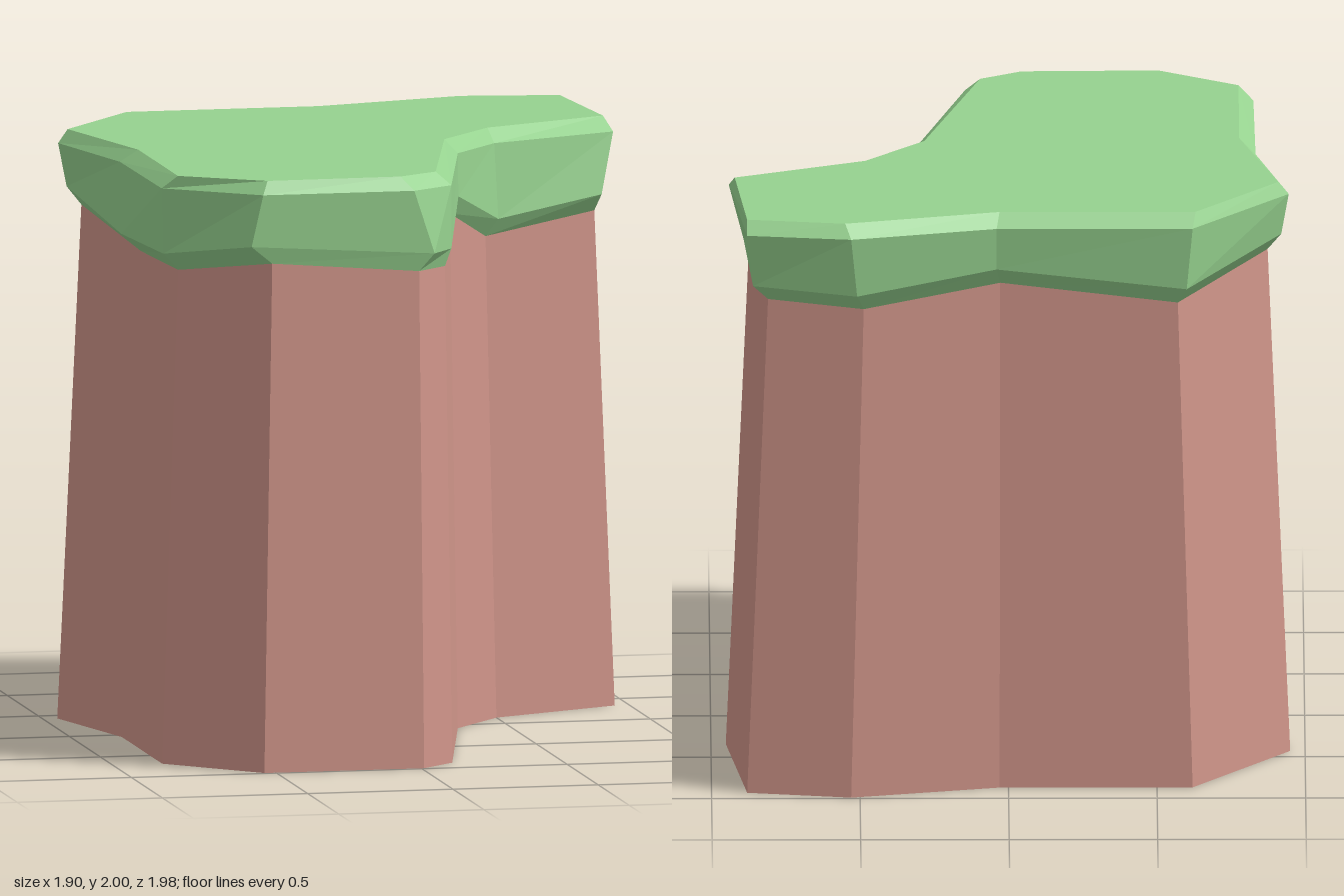
import * as THREE from 'three';

// Outline corners run counterclockwise seen from above, starting at the far -x corner.
const base = [[-0.95, -0.43], [-0.83, 0.05], [-0.83, 0.70], [-0.54, 0.99], [0.01, 0.99], [0.13, 0.88], [0.32, 0.08],
  [0.50, -0.14], [0.95, -0.34], [0.88, -0.93], [0.53, -0.99], [0.03, -0.87], [-0.62, -0.87]];
const grassTop = [[-0.91, -0.45], [-0.78, 0.08], [-0.78, 0.72], [-0.51, 0.90], [-0.05, 0.89], [0.09, 0.80], [0.28, 0.05],
  [0.48, -0.19], [0.92, -0.39], [0.88, -0.90], [0.55, -0.95], [0.03, -0.81], [-0.63, -0.81]];
const grassRim = [[-0.945, -0.44], [-0.835, 0.04], [-0.83, 0.69], [-0.53, 0.925], [-0.01, 0.925], [0.14, 0.82], [0.32, 0.08],
  [0.49, -0.13], [0.94, -0.32], [0.88, -0.94], [0.53, -0.99], [0.04, -0.86], [-0.62, -0.86]];
const grassLow = [[-0.92, -0.42], [-0.83, 0.04], [-0.82, 0.67], [-0.57, 0.925], [0.06, 0.925], [0.14, 0.82], [0.32, 0.09],
  [0.50, -0.11], [0.89, -0.27], [0.86, -0.91], [0.51, -0.97], [0.04, -0.85], [-0.60, -0.85]];
// Uneven height of the seam between rock and grass at each corner
const seamY = [1.75, 1.65, 1.67, 1.72, 1.68, 1.68, 1.75, 1.64, 1.69, 1.71, 1.69, 1.75, 1.68];

const ring = (outline, height) =>
  outline.map(([x, z], i) => new THREE.Vector3(x, height(i), z));

// Skins a stack of rings from bottom to top, with optional flat caps
function loft(rings, capBottom, capTop) {
  const n = rings[0].length;
  const positions = rings.flat().flatMap((p) => p.toArray());
  const index = [];
  for (let r = 0; r < rings.length - 1; r++) {
    for (let i = 0; i < n; i++) {
      const a = r * n + i, b = r * n + (i + 1) % n;
      index.push(a, b, b + n, a, b + n, a + n);
    }
  }
  const cap = (r, up) => {
    const flat = rings[r].map((p) => new THREE.Vector2(p.x, -p.z));
    for (const [a, b, c] of THREE.ShapeUtils.triangulateShape(flat, [])) {
      const o = r * n;
      index.push(o + a, o + (up ? b : c), o + (up ? c : b));
    }
  };
  if (capBottom) cap(0, false);
  if (capTop) cap(rings.length - 1, true);
  const geometry = new THREE.BufferGeometry();
  geometry.setAttribute('position', new THREE.Float32BufferAttribute(positions, 3));
  geometry.setIndex(index);
  const faceted = geometry.toNonIndexed();
  faceted.computeVertexNormals();
  return faceted;
}

function part(name, geometry, color) {
  const mesh = new THREE.Mesh(geometry, new THREE.MeshStandardMaterial({ color, flatShading: true }));
  mesh.name = name;
  return mesh;
}

export function createModel() {
  const group = new THREE.Group();
  group.name = 'grassyCliff';

  // Rock walls taper evenly up to the seam
  const seam = ring(base.map(([x, z]) => [x * 0.92, z * 0.923]), (i) => seamY[i]);
  group.add(part('rock', loft([ring(base, () => 0), seam], true, false), 0xd0958a));

  // Grass overhangs the rock, bevelled below and above
  const grass = loft([
    seam,
    ring(grassLow, (i) => seamY[i] + 0.06),
    ring(grassRim, () => 1.955),
    ring(grassTop, () => 2),
  ], false, true);
  group.add(part('grass', grass, 0x96d28f));

  return group;
}
